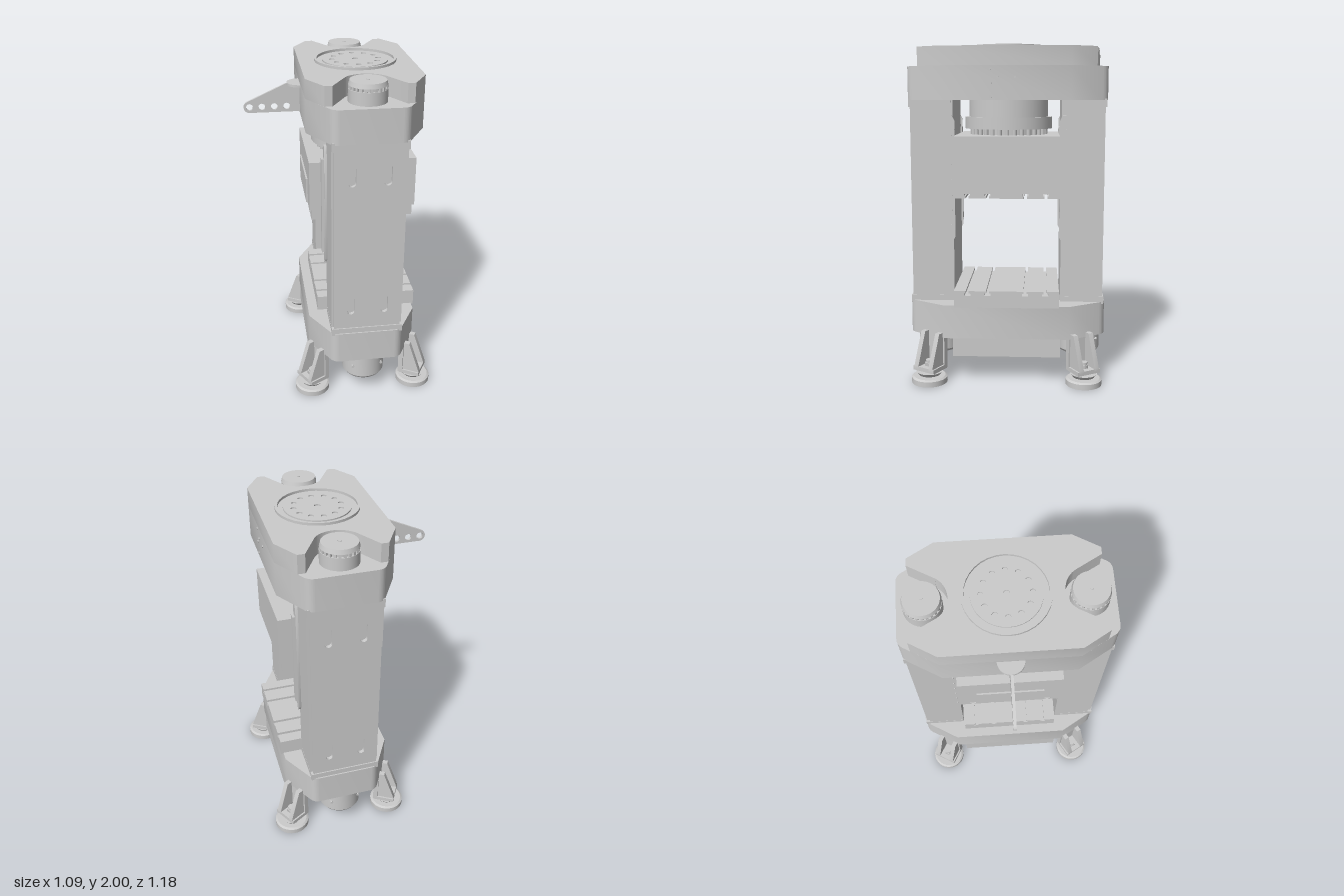
import * as THREE from 'three';
import { toCreasedNormals } from 'three/addons/utils/BufferGeometryUtils.js';

const CX = 0.11;      // press axis in x
const ROD_Z = 0.445;  // tie rod distance from the axis
const SLOTS = [-0.23, -0.11, 0.11, 0.23];

export function createModel() {
  const root = new THREE.Group();
  const mat = new THREE.MeshStandardMaterial({ color: 0xcccccc });

  const add = (name, geo, x = 0, y = 0, z = 0, parent = root) => {
    const m = new THREE.Mesh(geo, mat);
    m.name = name;
    m.position.set(x, y, z);
    parent.add(m);
    return m;
  };
  // box given by its limits
  const box = (name, x0, x1, y0, y1, z0, z1, parent) =>
    add(name, new THREE.BoxGeometry(x1 - x0, y1 - y0, z1 - z0), (x0 + x1) / 2, (y0 + y1) / 2, (z0 + z1) / 2, parent);
  // upright cylinder between two heights
  const cyl = (name, x, z, y0, y1, r, parent, rBottom = r, sides = 48) =>
    add(name, new THREE.CylinderGeometry(r, rBottom, y1 - y0, sides), x, (y0 + y1) / 2, z, parent);
  const extrude = (shape, depth) => toCreasedNormals(
    new THREE.ExtrudeGeometry(shape, { depth, bevelEnabled: false, curveSegments: 16 }), 0.6);
  const poly = pts => new THREE.Shape(pts.map(p => new THREE.Vector2(...p)));
  const hole = (x, y, r) => new THREE.Path().absarc(x, y, r, 0, Math.PI * 2, true);
  // plan outline raised between two heights
  const slab = (name, shape, y0, y1) => add(name, extrude(shape, y1 - y0).rotateX(-Math.PI / 2), CX, y0, 0);

  // long plan with chamfered, softened corners
  const plan = () => {
    const s = new THREE.Shape();
    s.moveTo(0.33, -0.37).lineTo(0.33, 0.37).lineTo(0.225, 0.55);
    s.quadraticCurveTo(0.205, 0.59, 0.165, 0.59).lineTo(-0.165, 0.59);
    s.quadraticCurveTo(-0.205, 0.59, -0.225, 0.55).lineTo(-0.33, 0.37);
    s.lineTo(-0.33, -0.37).lineTo(-0.225, -0.55);
    s.quadraticCurveTo(-0.205, -0.59, -0.165, -0.59).lineTo(0.165, -0.59);
    s.quadraticCurveTo(0.205, -0.59, 0.225, -0.55).lineTo(0.33, -0.37);
    return s;
  };

  // crown: full slab below, slab with open rod pockets above
  slab('crownLower', plan(), 1.68, 1.875);
  const top = new THREE.Shape();
  top.moveTo(0.33, -0.37).lineTo(0.33, 0.37).lineTo(0.242, 0.52).lineTo(0.2, 0.52).lineTo(0.115, 0.37);
  top.absarc(0, ROD_Z, 0.138, -0.577, -Math.PI + 0.577, true);
  top.lineTo(-0.2, 0.52).lineTo(-0.242, 0.52).lineTo(-0.33, 0.37);
  top.lineTo(-0.33, -0.37).lineTo(-0.242, -0.52).lineTo(-0.2, -0.52).lineTo(-0.115, -0.37);
  top.absarc(0, -ROD_Z, 0.138, Math.PI - 0.577, 0.577, true);
  top.lineTo(0.2, -0.52).lineTo(0.242, -0.52);
  slab('crownUpper', top, 1.875, 1.985);

  // cylinder cover: low rim with a drilled disc inside
  const rim = new THREE.Shape().absarc(0, 0, 0.24, 0, Math.PI * 2);
  rim.holes.push(hole(0, 0, 0.225));
  slab('coverRim', rim, 1.98, 2.0);
  const disc = new THREE.Shape().absarc(0, 0, 0.193, 0, Math.PI * 2);
  disc.holes.push(hole(0, 0, 0.018));
  for (let i = 0; i < 12; i++) {
    const a = i * Math.PI / 6;
    disc.holes.push(hole(Math.cos(a) * 0.137, Math.sin(a) * 0.137, 0.016));
  }
  slab('coverDisc', disc, 1.98, 1.993);

  // ram, flange and bolt ring
  cyl('ram', CX, 0, 1.57, 1.69, 0.24);
  cyl('ramFlange', CX, 0, 1.51, 1.58, 0.265);
  cyl('ramNeck', CX, 0, 1.47, 1.515, 0.2);
  for (let i = 0; i < 32; i++) {
    const a = i * Math.PI / 16;
    cyl('ramBolt', CX + Math.cos(a) * 0.225, Math.sin(a) * 0.225, 1.47, 1.512, 0.013, root, 0.013, 8);
  }

  // table plate with T-slots along x, open upwards
  const slotted = (w, h) => {
    const pts = [[-w, 0], [w, 0], [w, h]];
    for (const z of [...SLOTS].reverse()) {
      pts.push([z + 0.009, h], [z + 0.009, h - 0.014], [z + 0.018, h - 0.014], [z + 0.018, h - 0.028],
        [z - 0.018, h - 0.028], [z - 0.018, h - 0.014], [z - 0.009, h - 0.014], [z - 0.009, h]);
    }
    pts.push([-w, h]);
    return poly(pts);
  };

  // moving slide with slotted plate facing down
  box('slide', -0.2, 0.43, 1.175, 1.475, -0.308, 0.308);
  box('slideBackPad', -0.21, -0.19, 1.18, 1.33, -0.2, 0.2);
  add('slidePlate', extrude(slotted(0.308, 0.065), 0.605).rotateY(Math.PI / 2).rotateX(Math.PI), -0.19, 1.177, 0);
  // fixed bolster facing up
  add('bolster', extrude(slotted(0.31, 0.1), 0.615).rotateY(Math.PI / 2), -0.16, 0.466, 0);

  // base: chamfered slab over a shorter lower body with holes beneath
  slab('baseUpper', plan(), 0.27, 0.472);
  const lower = poly([[-0.33, -0.32], [0.33, -0.32], [0.33, 0.32], [-0.33, 0.32]]);
  lower.holes.push(hole(0, 0, 0.06), hole(0, 0.14, 0.025), hole(0, -0.14, 0.025));
  slab('baseLower', lower, 0.16, 0.272);

  // everything that repeats at both ends
  for (const s of [1, -1]) {
    const end = new THREE.Group();
    end.name = s > 0 ? 'frontColumn' : 'backColumn';
    if (s < 0) {
      end.rotation.y = Math.PI;
      end.position.x = 2 * CX;
    }
    root.add(end);

    // column with slotted cover plate and end flanges
    box('columnBody', CX - 0.213, CX + 0.213, 0.46, 1.69, 0.32, 0.553, end);
    const plate = poly([[-0.2, 0.47], [0.2, 0.47], [0.2, 1.68], [-0.2, 1.68]]);
    for (const x of [-0.1, 0.1]) for (const y of [0.66, 1.49]) {
      const slot = new THREE.Path();
      slot.absarc(x, y + 0.038, 0.022, 0, Math.PI, false);
      slot.absarc(x, y - 0.038, 0.022, Math.PI, Math.PI * 2, false);
      plate.holes.push(slot);
    }
    add('columnCover', extrude(plate, 0.024), CX, 0, 0.551, end);
    box('columnFoot', CX - 0.214, CX + 0.214, 0.46, 0.505, 0.33, 0.582, end);
    box('columnHead', CX - 0.214, CX + 0.214, 1.64, 1.69, 0.33, 0.582, end);

    // slide guides on both inner column corners
    for (const d of [1, -1]) {
      const x = CX + d * 0.213;
      const pad = poly([[-0.31, 0.87], [-0.325, 0.84], [-0.345, 0.84], [-0.36, 0.87],
        [-0.36, 1.56], [-0.345, 1.59], [-0.325, 1.59], [-0.31, 1.56]]);
      add('guidePad', extrude(pad, 0.02).rotateY(Math.PI / 2), x - 0.015, 0, 0, end);
      box('guideStrip', x - 0.03, x + 0.012, 0.91, 1.51, 0.31, 0.35, end);
      for (let i = 0; i < 7; i++) {
        const bolt = new THREE.CylinderGeometry(0.006, 0.006, 0.008, 8).rotateZ(Math.PI / 2);
        add('guideBolt', bolt, x + d * 0.014, 0.94 + i * 0.09, 0.332, end);
      }
    }

    // castellated tie rod nut above
    cyl('rodNut', CX, ROD_Z, 1.87, 1.948, 0.108, end);
    cyl('nutNeck', CX, ROD_Z, 1.945, 1.97, 0.094, end);
    cyl('nutCap', CX, ROD_Z, 1.967, 1.992, 0.1, end, 0.107);
    cyl('rodTip', CX, ROD_Z, 1.99, 1.996, 0.01, end, 0.01, 16);
    for (let i = 0; i < 24; i++) {
      const a = i * Math.PI / 12;
      const tooth = new THREE.BoxGeometry(0.016, 0.024, 0.014).rotateY(-a);
      add('nutTooth', tooth, CX + Math.cos(a) * 0.098, 1.957, ROD_Z + Math.sin(a) * 0.098, end);
    }
    // lower rod housing with a recessed bottom
    const housing = [[0, 0.125], [0.08, 0.125], [0.085, 0.11], [0.12, 0.11], [0.13, 0.125], [0.13, 0.275]]
      .map(p => new THREE.Vector2(...p));
    add('rodHousing', toCreasedNormals(new THREE.LatheGeometry(housing, 48), 0.5), CX, 0, ROD_Z, end);
    for (const x of [-0.08, 0.1]) {
      const pin = new THREE.CylinderGeometry(0.009, 0.009, 0.02, 12).rotateX(Math.PI / 2);
      add('housingPin', pin, CX + x, 0.195, ROD_Z + Math.sqrt(0.0169 - x * x), end);
    }

    // levelling feet on the corner chamfers; local +x points away from the base
    for (const d of [1, -1]) {
      const foot = new THREE.Group();
      foot.name = 'foot';
      foot.position.set(CX + d * 0.326, 0, 0.463);
      foot.rotation.y = d > 0 ? -Math.PI / 6 : Math.PI + Math.PI / 6;
      end.add(foot);
      cyl('footPad', 0, 0, 0, 0.032, 0.107, foot);
      cyl('footPadBevel', 0, 0, 0.032, 0.04, 0.095, foot, 0.107);
      cyl('footStem', 0, 0, 0.035, 0.135, 0.022, foot, 0.022, 20);
      cyl('footRing', 0, 0, 0.046, 0.066, 0.08, foot, 0.065);
      cyl('footNut', 0, 0, 0.1, 0.12, 0.03, foot, 0.03, 6);
      box('bracketFloor', -0.07, 0.06, 0.075, 0.1, -0.078, 0.078, foot);
      box('bracketBack', -0.075, -0.045, 0.08, 0.275, -0.078, 0.078, foot);
      const rib = poly([[-0.07, 0.08], [0.06, 0.08], [0.06, 0.105], [-0.01, 0.3], [-0.047, 0.3], [-0.07, 0.27]]);
      for (const z of [-0.053, 0.053]) add('bracketRib', extrude(rib, 0.03), 0, 0, z - 0.015, foot);
    }
  }

  // side arm with four holes and a half-round top plate
  const arm = new THREE.Shape();
  arm.moveTo(-0.21, 1.69).lineTo(-0.21, 1.86).lineTo(-0.3, 1.86).lineTo(-0.53, 1.756);
  arm.absarc(-0.517, 1.724, 0.034, 1.95, Math.PI * 1.5, false);
  for (let i = 0; i < 4; i++) arm.holes.push(hole(-0.517 + i * 0.073, 1.724, 0.02));
  add('sideArm', extrude(arm, 0.016), 0, 0, -0.008);
  cyl('armTopPlate', -0.22, 0, 1.852, 1.866, 0.075);

  // small bolts on the crown's side
  for (const [z, y] of [[0.09, 1.7], [0.09, 1.775], [0.09, 1.855], [0.05, 1.81], [-0.05, 1.81]]) {
    add('crownBolt', new THREE.CylinderGeometry(0.007, 0.007, 0.008, 10).rotateZ(Math.PI / 2), 0.441, y, z);
  }
  return root;
}
